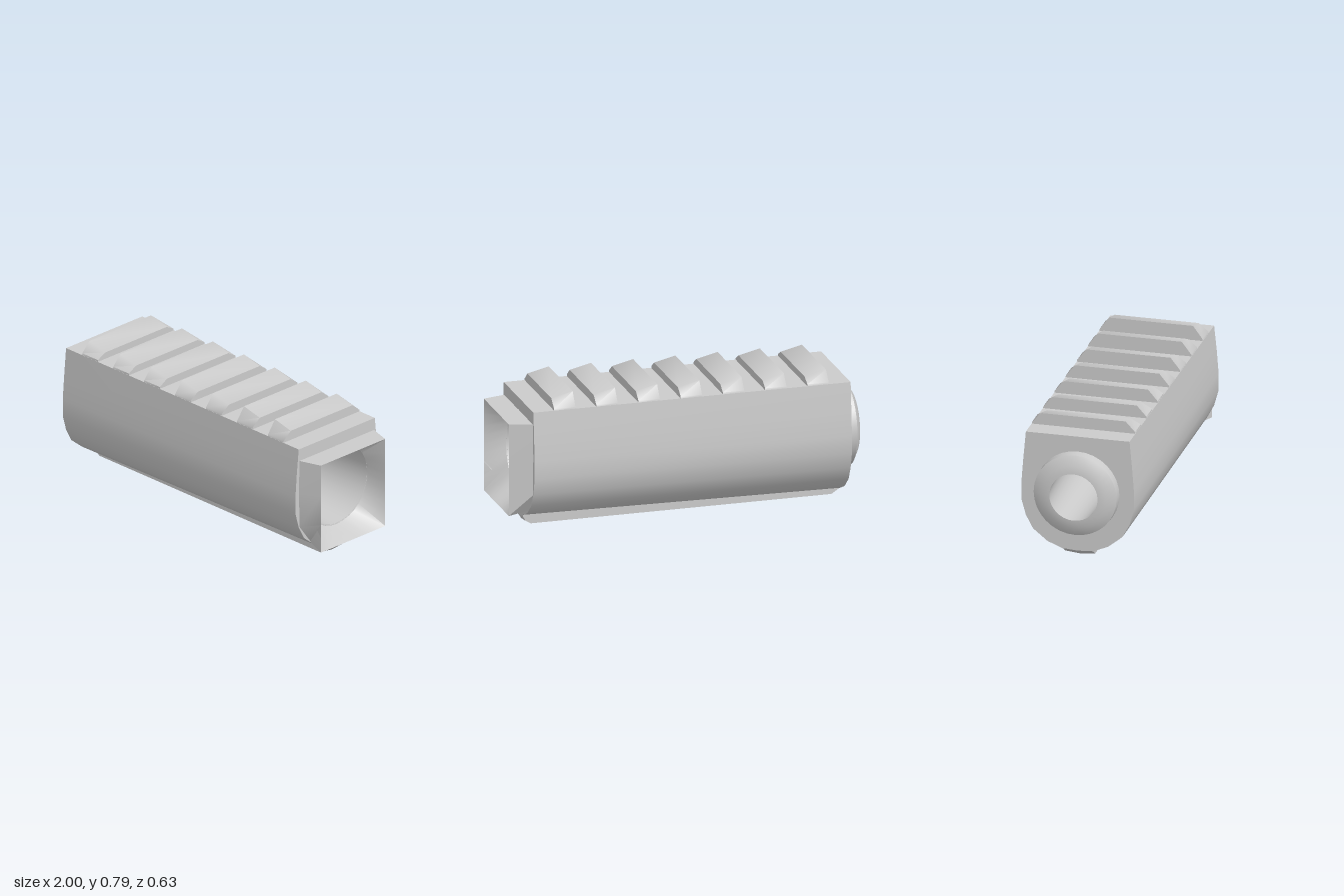
import * as THREE from 'three';
import { toCreasedNormals } from 'three/addons/utils/BufferGeometryUtils.js';

const material = new THREE.MeshStandardMaterial({ color: 0xcccccc, side: THREE.DoubleSide });

// Skin rings of [x, y, z] points; rings run counter-clockwise seen from +x
function loft(rings, { capped = false, crease = 0.8 } = {}) {
  const n = rings[0].length, pos = rings.flat(2), index = [];
  for (let r = 0; r < rings.length - 1; r++) {
    for (let i = 0; i < n; i++) {
      const a = r * n + i, b = r * n + (i + 1) % n;
      index.push(a, b, a + n, b, b + n, a + n);
    }
  }
  if (capped) {
    const last = (rings.length - 1) * n;
    for (let i = 1; i < n - 1; i++) index.push(0, i + 1, i, last, last + i, last + i + 1);
  }
  const g = new THREE.BufferGeometry();
  g.setAttribute('position', new THREE.Float32BufferAttribute(pos, 3));
  g.setIndex(index);
  return toCreasedNormals(g, crease);
}

// Mirror a half outline of [halfWidth, y], listed bottom to top, into a closed ring at x
function ring(x, half) {
  const right = half.map(([w, y]) => [x, y, -w]);
  const left = half.slice().reverse().map(([w, y]) => [x, y, w]);
  return [...right, ...left];
}

const bodyHalf = (top) => [
  [0.085, 0.065], [0.17, 0.1], [0.25, 0.165], [0.29, 0.24],
  [0.315, 0.33], [0.315, 0.43], [0.305, 0.56], [0.29, top],
];

// Flat end wall of the body with a round opening
function endWall(x, top, radius, facing) {
  const shape = new THREE.Shape(ring(0, bodyHalf(top)).map((p) => new THREE.Vector2(-p[2], p[1])));
  const hole = new THREE.Path();
  hole.absarc(0, 0.405, radius, 0, Math.PI * 2, true);
  shape.holes.push(hole);
  return new THREE.ShapeGeometry(shape, 24).rotateY(facing * Math.PI / 2).translate(x, 0, 0);
}

// Turn a profile of [radius, x] around the long axis
function turned(points, y, crease) {
  const g = new THREE.LatheGeometry(points.map((p) => new THREE.Vector2(...p)), 32);
  return toCreasedNormals(g.rotateZ(-Math.PI / 2).translate(0, y, 0), crease);
}

export function createModel() {
  const group = new THREE.Group();
  const add = (name, geometry) => {
    const mesh = new THREE.Mesh(geometry, material);
    mesh.name = name;
    group.add(mesh);
  };

  // Body shell and its end walls
  const x0 = -0.91, x1 = 0.875, top0 = 0.725, top1 = 0.705;
  const topAt = (x) => top0 + (top1 - top0) * (x - x0) / (x1 - x0);
  add('body', loft([ring(x0, bodyHalf(top0)), ring(x1, bodyHalf(top1))]));
  add('rearWall', endWall(x0, top0, 0.2, -1));
  add('frontWall', endWall(x1, top1, 0.23, 1));

  // Seven sloping ridges across the top
  for (let i = 0; i < 7; i++) {
    const start = -0.787 + i * 0.2375, end = start + 0.12;
    const section = (x, peak) => ring(x, [
      [0.29, topAt(x) - 0.01], [0.288, topAt(x) + 0.01], [0.235, peak],
    ]);
    add('ridge' + (i + 1), loft([section(start, 0.79), section(end, 0.76)], { capped: true, crease: 0.9 }));
  }

  // Keel rail under the body, chamfered at both ends
  const keel = (x, bottom, edge) => ring(x, [[0, bottom], [0.085, edge], [0.085, 0.075]]);
  add('keel', loft([
    keel(x0, 0.06, 0.067), keel(-0.86, 0.025, 0.034),
    keel(0.83, 0, 0.013), keel(0.86, 0.02, 0.03), keel(x1, 0.045, 0.055),
  ], { capped: true, crease: 0.5 }));

  // Square collar, tapering away from the body
  add('collar', loft([
    ring(0.87, [[0.1, 0.11], [0.2, 0.125], [0.285, 0.24], [0.29, 0.45], [0.285, 0.635]]),
    ring(1, [[0.1, 0.117], [0.245, 0.117], [0.245, 0.28], [0.245, 0.45], [0.245, 0.635]]),
  ]));

  // Funnel from the square mouth to the round bore
  const round = [], square = [];
  for (let i = 0; i < 32; i++) {
    const a = i / 32 * Math.PI * 2, c = Math.cos(a), s = Math.sin(a);
    const k = 1 / Math.max(Math.abs(c), Math.abs(s));
    round.push([0.875, 0.4 + 0.232 * s, -0.232 * c]);
    square.push([1, 0.376 + 0.259 * s * k, -0.245 * c * k]);
  }
  add('funnel', loft([square, round]));

  // Tapered bore through the body, and the rounded neck at the rear
  add('bore', turned([[0.232, 0.88], [0.135, -1]], 0.405, 1));
  add('neck', turned([[0.135, -1], [0.18, -0.995], [0.232, -0.965], [0.234, -0.9]], 0.405, 0.9));

  return group;
}
